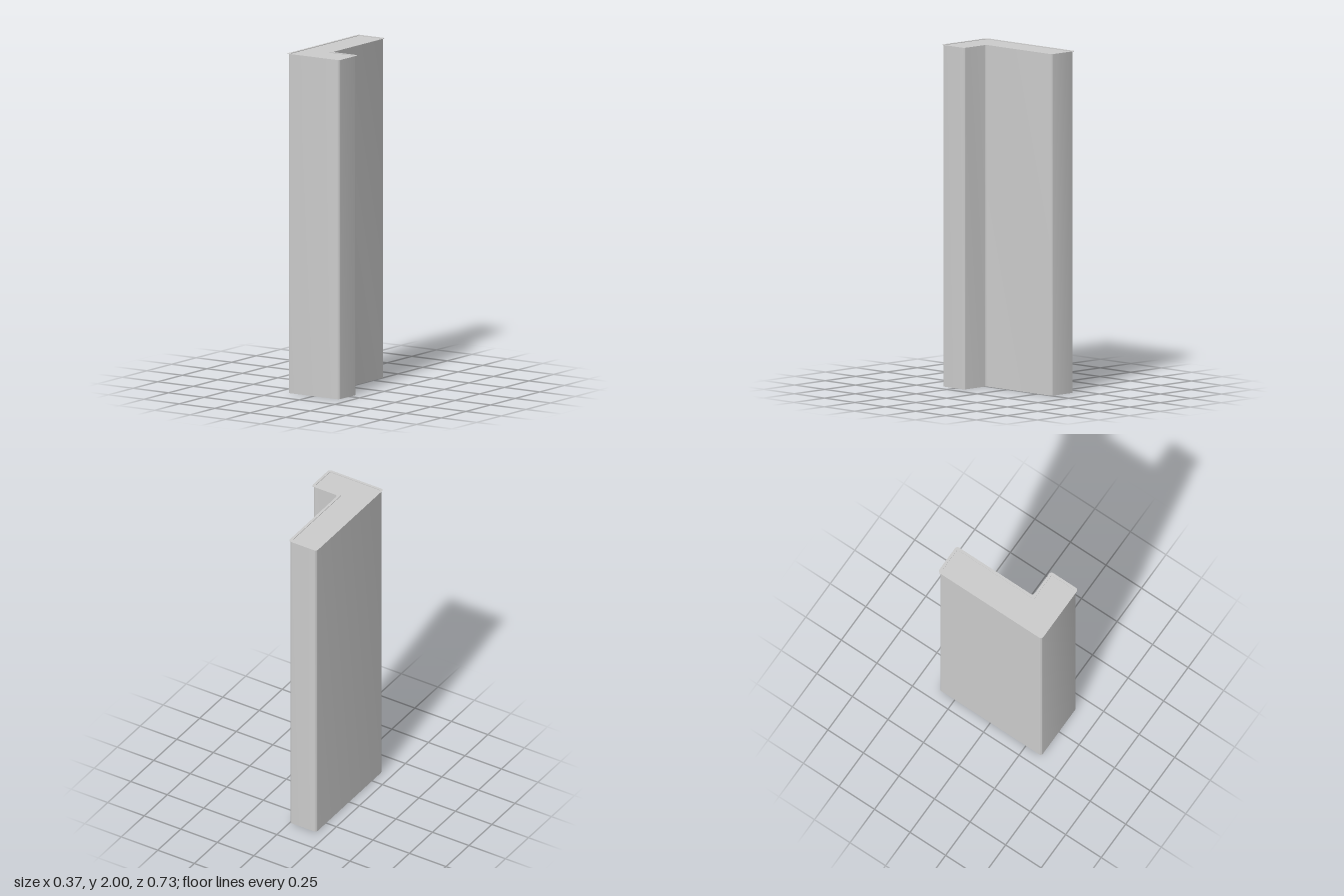
import * as THREE from 'three';
import { toCreasedNormals } from 'three/addons/utils/BufferGeometryUtils.js';

const material = new THREE.MeshStandardMaterial({ color: 0xcccccc });

// L-shaped plan grown outwards by o, with every corner rounded by r
function outline(o, r, PathType = THREE.Shape) {
  const p = [
    [-0.18 - o, -0.359 - o], [0.18 + o, -0.359 - o], [0.18 + o, -0.179 + o],
    [o, -0.179 + o], [o, 0.359 + o], [-0.18 - o, 0.359 + o],
  ].map(([x, y]) => new THREE.Vector2(x, y));
  const path = new PathType();
  p.forEach((corner, i) => {
    const toward = (q) => q.clone().sub(corner).setLength(r).add(corner);
    const a = toward(p[(i + 5) % 6]);
    const b = toward(p[(i + 1) % 6]);
    if (i === 0) path.moveTo(a.x, a.y);
    else path.lineTo(a.x, a.y);
    path.quadraticCurveTo(corner.x, corner.y, b.x, b.y);
  });
  path.closePath();
  return path;
}

// Upright prism of the plan between two heights, optionally hollow
function prism(name, shape, y0, y1, hole) {
  if (hole) shape.holes.push(hole);
  const geo = new THREE.ExtrudeGeometry(shape, { depth: y1 - y0, bevelEnabled: false, curveSegments: 6 });
  geo.rotateX(-Math.PI / 2).translate(0, y0, 0);
  const mesh = new THREE.Mesh(toCreasedNormals(geo, 0.7), material);
  mesh.name = name;
  return mesh;
}

export function createModel() {
  const group = new THREE.Group();
  group.name = 'cornerColumn';
  const inner = () => outline(-0.009, 0.012, THREE.Path);
  group.add(
    // outer wall, leaving a shallow rim under the base
    prism('outerWall', outline(0, 0.016), 0, 1.998, inner()),
    // slightly recessed solid filling
    prism('core', outline(-0.009, 0.012), 0.008, 1.997),
    // paper-thin lip overhanging the top edge
    prism('topLip', outline(0.007, 0.02), 1.998, 2, inner()),
  );
  return group;
}
